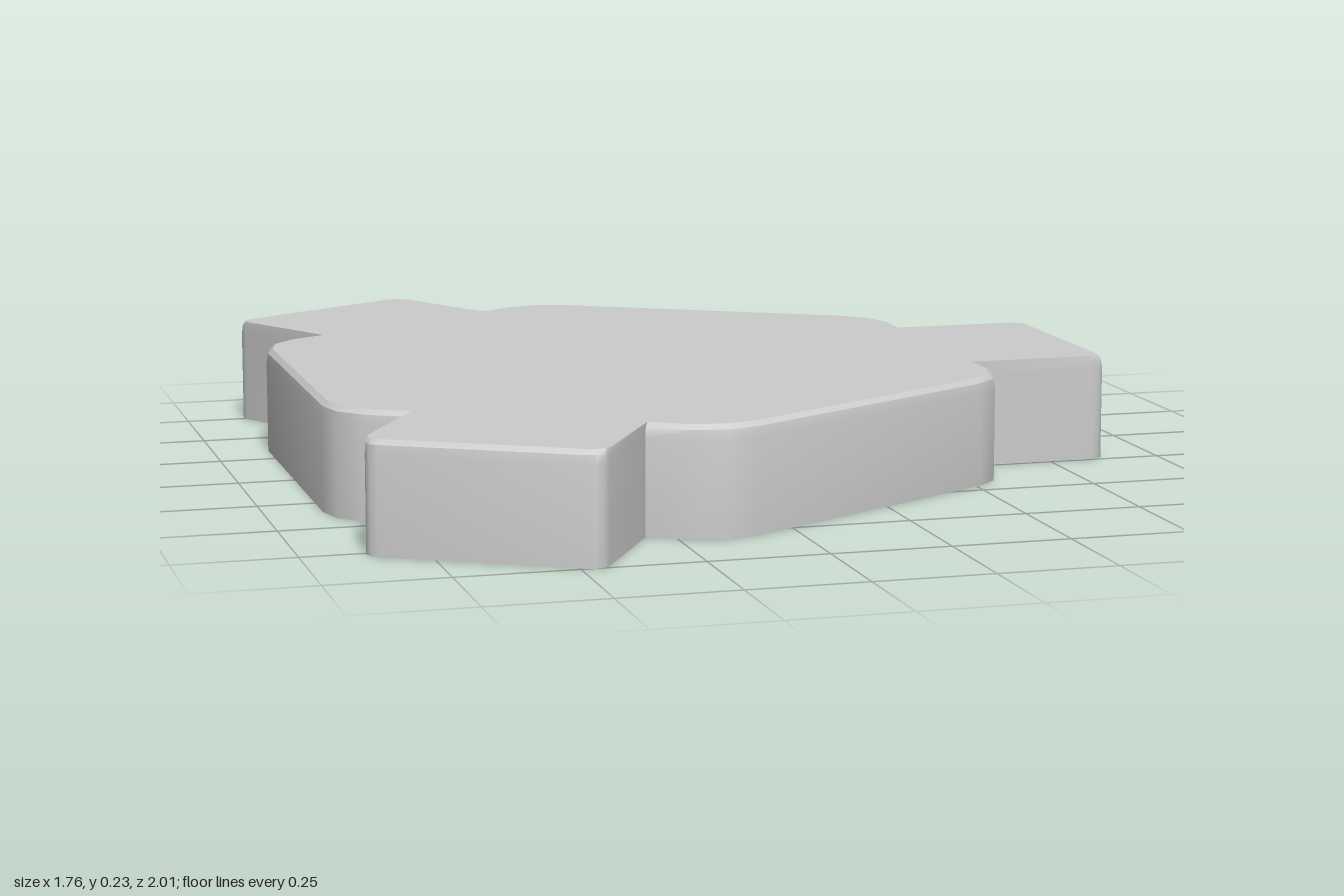
import * as THREE from 'three';
import { mergeVertices, toCreasedNormals } from 'three/addons/utils/BufferGeometryUtils.js';

const CENTRE_X = -0.153;
const TAB_POINTS = 4;

// Half of one third of the outline (x along the tab, z across it): tab end, tab side, body corner
const HALF = [
  [1.033, 0.21], [1.0285, 0.2275], [1.0155, 0.2405], [0.998, 0.245],
  [0.733, 0.245], [0.733, 0.34], [0.71, 0.41], [0.66, 0.458],
];

// Full closed outline, pulled inwards by inset; tab sides stay straight
function outline(inset) {
  const half = HALF.map(([x, z], i) => {
    if (i <= TAB_POINTS) return [x - inset, z];
    const k = 1 - inset / Math.hypot(x, z);
    return [x * k, z * k];
  });
  const sector = [...half.map(([x, z]) => [x, -z]).reverse(), ...half];
  const points = [];
  for (let s = 0; s < 3; s++) {
    const c = Math.cos(s * Math.PI * 2 / 3), n = Math.sin(s * Math.PI * 2 / 3);
    for (const [x, z] of sector) points.push([x * c - z * n, x * n + z * c]);
  }
  return points;
}

// Thin shell: straight wall, softened upper edge, flat top, open underneath
function shellGeometry() {
  const levels = [[0, 0], [0.2, 0], [0.22, 0.004], [0.23, 0.015]];
  const position = [], index = [];
  let count = 0;
  for (const [y, inset] of levels) {
    const ring = outline(inset);
    count = ring.length;
    for (const [x, z] of ring) position.push(x, y, z);
  }
  position.push(0, 0.23, 0);
  const centre = levels.length * count;
  for (let i = 0; i < count; i++) {
    const j = (i + 1) % count;
    for (let l = 0; l < levels.length - 1; l++) {
      const a = l * count + i, b = l * count + j;
      index.push(a, a + count, b, b, a + count, b + count);
    }
    const top = (levels.length - 1) * count;
    index.push(top + i, centre, top + j);
  }
  const geometry = new THREE.BufferGeometry();
  geometry.setAttribute('position', new THREE.Float32BufferAttribute(position, 3));
  geometry.setIndex(index);
  return toCreasedNormals(mergeVertices(geometry), 0.6);
}

export function createModel() {
  const group = new THREE.Group();
  const material = new THREE.MeshStandardMaterial({ color: 0xcccccc, side: THREE.DoubleSide });
  const shell = new THREE.Mesh(shellGeometry(), material);
  shell.name = 'threeTabbedCover';
  shell.position.x = CENTRE_X;
  group.add(shell);
  return group;
}
